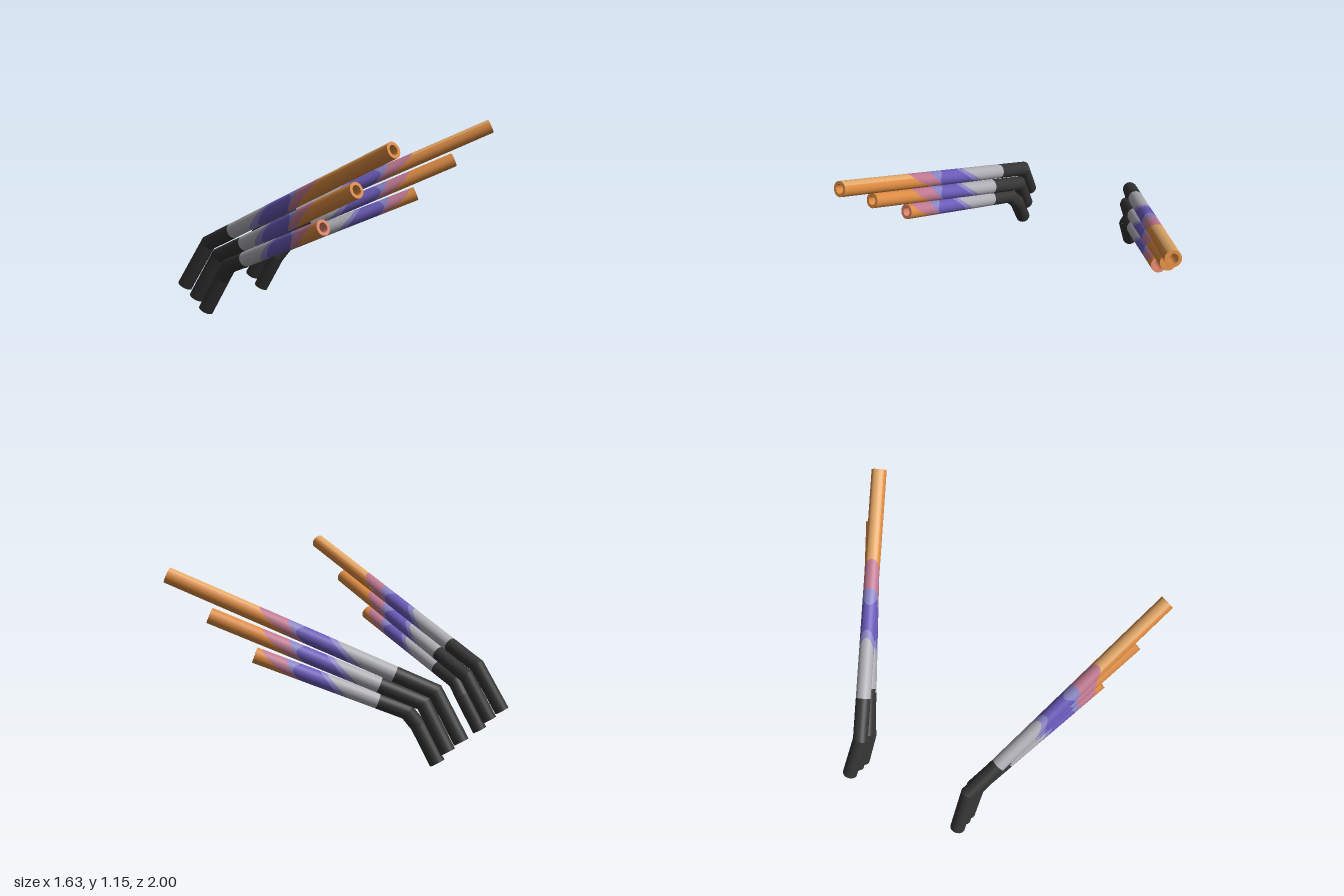
import * as THREE from 'three';
import { toCreasedNormals } from 'three/addons/utils/BufferGeometryUtils.js';

const R = 0.046, BORE = 0.028, SIDES = 32, TURN = Math.PI * 2;

const mat = (name, color) => {
  const m = new THREE.MeshStandardMaterial({ color });
  m.name = name;
  return m;
};

// Perpendicular frame of a pipe axis; u points as far up as possible
function frame(d) {
  const u = new THREE.Vector3(0, 1, 0).addScaledVector(d, -d.y).normalize();
  return { u, v: d.clone().cross(u) };
}

// Straight piece of pipe wall; each end is an axial position given per radial direction
function wall(p, d, from, to, start = 0, sweep = TURN) {
  const { u, v } = frame(d);
  const pos = [], nor = [], idx = [];
  for (let i = 0; i <= SIDES; i++) {
    const a = start + (i / SIDES) * sweep;
    const n = u.clone().multiplyScalar(Math.cos(a)).addScaledVector(v, Math.sin(a));
    for (const end of [from, to]) {
      const q = p.clone().addScaledVector(n, R).addScaledVector(d, end(a, n));
      pos.push(q.x, q.y, q.z);
      nor.push(n.x, n.y, n.z);
    }
    if (i < SIDES) {
      const k = i * 2;
      idx.push(k, k + 2, k + 3, k, k + 3, k + 1);
    }
  }
  const g = new THREE.BufferGeometry();
  g.setAttribute('position', new THREE.Float32BufferAttribute(pos, 3));
  g.setAttribute('normal', new THREE.Float32BufferAttribute(nor, 3));
  g.setIndex(idx);
  return g;
}

const flat = (s) => () => s; // square cut
const miter = (s, d, m) => (t, n) => s - (R * n.dot(m)) / d.dot(m);

// Curved colour edge through given positions at the top, sides and bottom of the pipe
const curved = (top, side, bottom) => (t) => {
  const c = Math.cos(t);
  return side + ((top - bottom) / 2) * c + ((top + bottom) / 2 - side) * c * c;
};

export function createModel() {
  const black = mat('black steel', 0x343434);
  const grey = mat('bare steel', 0xadadb3);
  const lilac = mat('pale heat violet', 0x8883c2);
  const violet = mat('deep heat violet', 0x6a5ab8);
  const pink = mat('heat pink', 0xbf7891);
  const orange = mat('heat orange', 0xdb8a42);
  const paleOrange = mat('pale heat orange', 0xe3a868);
  const salmon = mat('heat salmon', 0xdc8468);

  // Far edge of each heat tint on the long run: top, side, bottom
  const tints = [
    ['greyBand', grey, 0.63, 0.52, 0.42],
    ['lilacBand', lilac, 0.68, 0.585, 0.51],
    ['violetBand', violet, 0.83, 0.86, 0.77],
    ['upperLilacBand', lilac, 0.93, 0.88, 0.78],
    ['pinkBand', pink, 1.11, 1.02, 0.86],
  ];

  // Centre lines from the lower end to the open tip
  const pipes = [
    { name: 'longPipe', scale: 1, black: 0.255, rim: orange, paleTop: true,
      path: [[-0.777, 0.166, 0.385], [-0.613, 0.442, 0.375], [0.785, 1.107, 0.957]] },
    { name: 'middlePipe', scale: 0.91, black: 0.275, rim: orange,
      path: [[-0.697, 0.098, 0.385], [-0.541, 0.369, 0.378], [0.557, 0.882, 0.888]] },
    { name: 'shortPipe', scale: 0.81, black: 0.18, rim: salmon,
      path: [[-0.633, 0.024, 0.385], [-0.513, 0.235, 0.385], [-0.455, 0.317, 0.415], [0.325, 0.655, 0.791]] },
  ];

  const model = new THREE.Group();
  model.name = 'exhaustPipes';

  for (const side of [1, -1]) {
    const bank = new THREE.Group();
    bank.name = side > 0 ? 'frontBank' : 'backBank';
    model.add(bank);

    for (const spec of pipes) {
      const pipe = new THREE.Group();
      pipe.name = spec.name;
      bank.add(pipe);
      const add = (name, geo, material) => {
        const mesh = new THREE.Mesh(geo, material);
        mesh.name = name;
        pipe.add(mesh);
        return mesh;
      };
      const pts = spec.path.map(([x, y, z]) => new THREE.Vector3(x, y, z * side));
      const dirs = pts.slice(1).map((p, i) => p.clone().sub(pts[i]).normalize());
      const last = dirs.length - 1;
      const bend = dirs.slice(1).map((d, i) => d.clone().add(dirs[i]));

      // Black lower runs with mitred bends
      dirs.forEach((d, i) => {
        const from = i ? miter(0, d, bend[i - 1]) : flat(0);
        const to = i < last ? miter(pts[i].distanceTo(pts[i + 1]), d, bend[i]) : flat(spec.black);
        add('blackRun', wall(pts[i], d, from, to), black);
      });
      const cap = add('lowerCap', new THREE.CircleGeometry(R, SIDES), black);
      cap.position.copy(pts[0]);
      cap.quaternion.setFromUnitVectors(new THREE.Vector3(0, 0, 1), dirs[0].clone().negate());

      // Heat tinted long run
      const d = dirs[last], tip = flat(pts[last].distanceTo(pts[last + 1]));
      let from = flat(spec.black);
      for (const [name, material, ...edge] of tints) {
        const to = curved(...edge.map((s) => s * spec.scale));
        add(name, wall(pts[last], d, from, to), material);
        from = to;
      }

      // Orange tip; the longest pipe is paler along its upper side
      const half = spec.paleTop ? Math.PI / 4 : 0;
      add('orangeTip', wall(pts[last], d, from, tip, half, TURN - 2 * half), orange);
      if (half) add('paleTipTop', wall(pts[last], d, from, tip, -half, 2 * half), paleOrange);

      // Rim and bore of the open tip
      const profile = [[R, 0], [BORE, 0], [BORE, -0.15], [0, -0.15]].map(([x, y]) => new THREE.Vector2(x, y));
      const rim = add('tipRim', toCreasedNormals(new THREE.LatheGeometry(profile, SIDES), 0.6), spec.rim);
      rim.position.copy(pts[last + 1]);
      rim.quaternion.setFromUnitVectors(new THREE.Vector3(0, 1, 0), d);
    }
  }
  return model;
}
